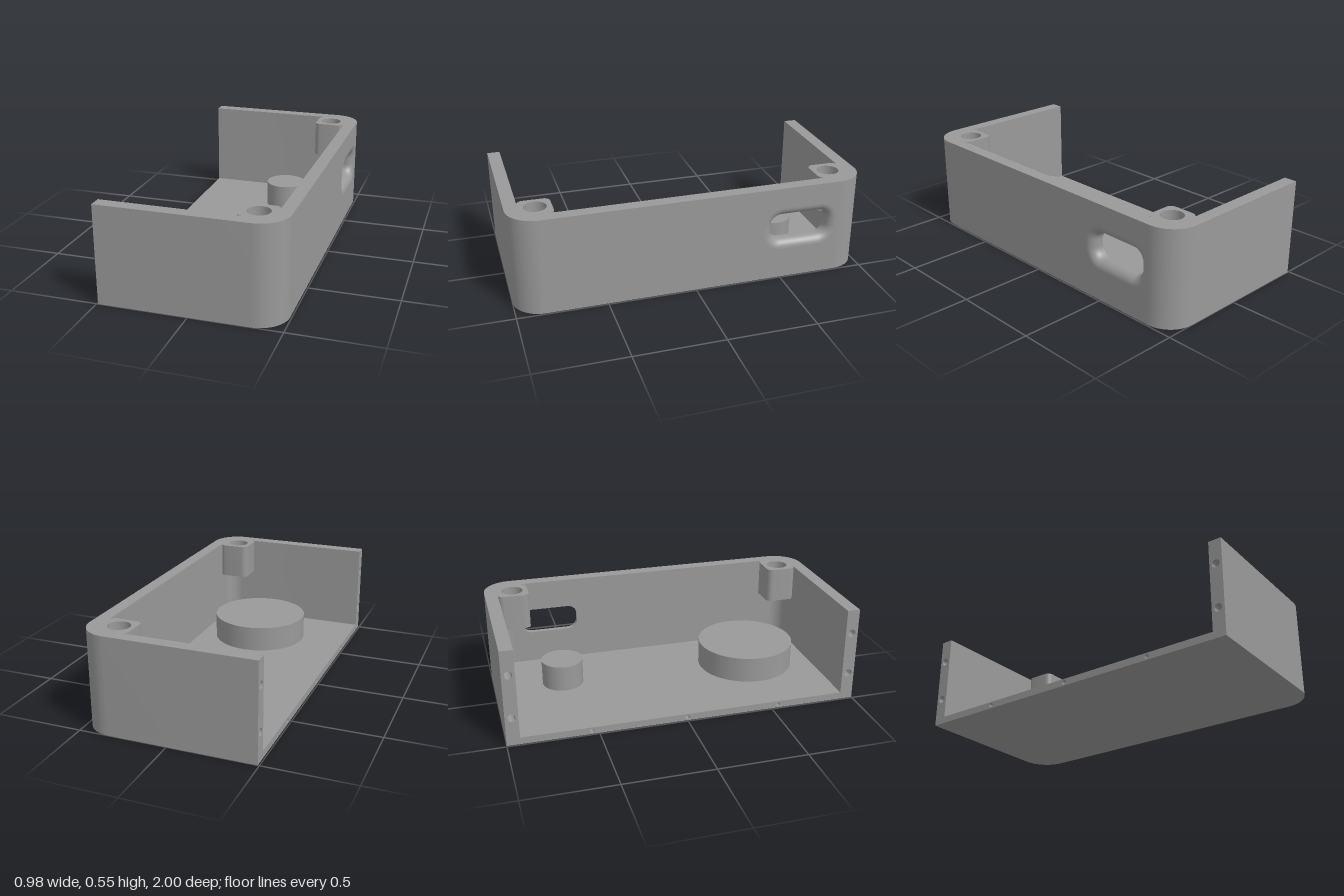
import * as THREE from 'three';
import { toCreasedNormals } from 'three/addons/utils/BufferGeometryUtils.js';

const X = 0.492, Z = 1, H = 0.553;           // half width, half length, height
const WALL = 0.073, FLOOR = 0.04, R = 0.16;  // thicknesses, outer corner radius
const LIP = 0.1;                             // depth of the drilled open end
const FLARE = 0.05;                          // rounding of the slot's outer edge

const shell = new THREE.MeshStandardMaterial({ color: 0x999999 });
shell.name = 'grey plastic';

function roundedRect(cx, cy, hw, hh, r, n = 10) {
  const points = [];
  [[1, 1], [-1, 1], [-1, -1], [1, -1]].forEach(([sx, sy], q) => {
    for (let i = 0; i <= n; i++) {
      const a = (q + i / n) * Math.PI / 2;
      points.push(new THREE.Vector2(
        cx + sx * (hw - r) + r * Math.cos(a),
        cy + sy * (hh - r) + r * Math.sin(a)));
    }
  });
  return points;
}

function circle(x, y, r) {
  return new THREE.Path().absarc(x, y, r, 0, Math.PI * 2, true);
}

function extrude(shape, depth) {
  const g = new THREE.ExtrudeGeometry(shape, { depth, bevelEnabled: false, curveSegments: 20 });
  return toCreasedNormals(g, 0.5);
}

// Plan shapes are drawn in (x, -z) and rise along y.
const upright = (shape, y0, y1) => extrude(shape, y1 - y0).rotateX(-Math.PI / 2).translate(0, y0, 0);
// Side shapes are drawn in (-z, y) and run along x.
const sideways = (shape, x0, x1) => extrude(shape, x1 - x0).rotateY(Math.PI / 2).translate(x0, 0, 0);

export function createModel() {
  const model = new THREE.Group();
  model.name = 'halfEnclosure';
  const add = (name, geometry) => {
    const mesh = new THREE.Mesh(geometry, shell);
    mesh.name = name;
    model.add(mesh);
    return mesh;
  };
  const start = -X + LIP;

  // Open end: U-shaped frame with alignment holes
  const u = new THREE.Shape([
    [-Z, 0], [Z, 0], [Z, H], [Z - WALL, H], [Z - WALL, FLOOR],
    [-Z + WALL, FLOOR], [-Z + WALL, H], [-Z, H],
  ].map(([a, b]) => new THREE.Vector2(a, b)));
  for (const s of [-1, 1])
    for (const y of [0.163, 0.413]) u.holes.push(circle(s * (Z - WALL / 2), y, 0.022));
  for (const z of [-0.54, 0, 0.54]) u.holes.push(circle(z, FLOOR / 2, 0.012));
  add('openEndFrame', sideways(u, -X, start));

  // Floor with two rounded corners
  const base = new THREE.Shape();
  base.moveTo(start, -Z);
  base.lineTo(X - R, -Z);
  base.absarc(X - R, -Z + R, R, -Math.PI / 2, 0, false);
  base.lineTo(X, Z - R);
  base.absarc(X - R, Z - R, R, 0, Math.PI / 2, false);
  base.lineTo(start, Z);
  base.closePath();
  add('floor', upright(base, 0, FLOOR));

  for (const s of [1, -1]) {
    const side = s > 0 ? 'back' : 'front';

    // End wall wrapping round its corner
    const wall = new THREE.Shape();
    wall.moveTo(start, s * Z);
    wall.lineTo(X - R, s * Z);
    wall.absarc(X - R, s * (Z - R), R, s * Math.PI / 2, 0, s > 0);
    wall.lineTo(X - WALL, s * (Z - R));
    wall.absarc(X - R, s * (Z - R), R - WALL, 0, s * Math.PI / 2, s < 0);
    wall.lineTo(start, s * (Z - WALL));
    wall.closePath();
    add(side + 'Wall', upright(wall, FLOOR, H));

    // Screw boss hanging in the corner
    const boss = new THREE.Shape(roundedRect(0.327, s * 0.838, 0.092, 0.09, 0.035));
    boss.holes.push(circle(0.325, s * 0.838, 0.062));
    add(side + 'ScrewBoss', upright(boss, 0.345, H));
  }

  // Long wall in two layers around the slot
  const slot = (e) => roundedRect(0.612, 0.305, 0.167 + e, 0.075 + e, 0.055 + e);
  const panel = (e) => {
    const s = new THREE.Shape([
      new THREE.Vector2(-Z + R, FLOOR), new THREE.Vector2(Z - R, FLOOR),
      new THREE.Vector2(Z - R, H), new THREE.Vector2(-Z + R, H)]);
    s.holes.push(new THREE.Path(slot(e)));
    return s;
  };
  add('longWallInner', sideways(panel(0), X - WALL, X - FLARE));
  add('longWallOuter', sideways(panel(FLARE), X - FLARE, X));

  // Rounded slot edge, lofted from loops
  const rows = 10, pos = [], index = [];
  const count = slot(0).length;
  for (let k = 0; k <= rows; k++) {
    const t = k / rows * Math.PI / 2;
    const x = X - FLARE + FLARE * Math.cos(t);
    for (const p of slot(FLARE * (1 - Math.sin(t)))) pos.push(x, p.y, -p.x);
  }
  for (let k = 0; k < rows; k++) {
    for (let i = 0; i < count; i++) {
      const a = k * count + i, b = k * count + (i + 1) % count;
      index.push(a, b, a + count, b, b + count, a + count);
    }
  }
  const flare = new THREE.BufferGeometry();
  flare.setAttribute('position', new THREE.Float32BufferAttribute(pos, 3));
  flare.setIndex(index);
  flare.computeVertexNormals();
  add('slotEdge', flare);

  // Round pads on the floor
  for (const [name, x, z, r] of [['largePad', 0.055, 0.535, 0.285], ['smallPad', 0.085, -0.6, 0.12]]) {
    const pad = add(name, new THREE.CylinderGeometry(r, r, 0.15, 64));
    pad.position.set(x, FLOOR + 0.075, z);
  }

  return model;
}
